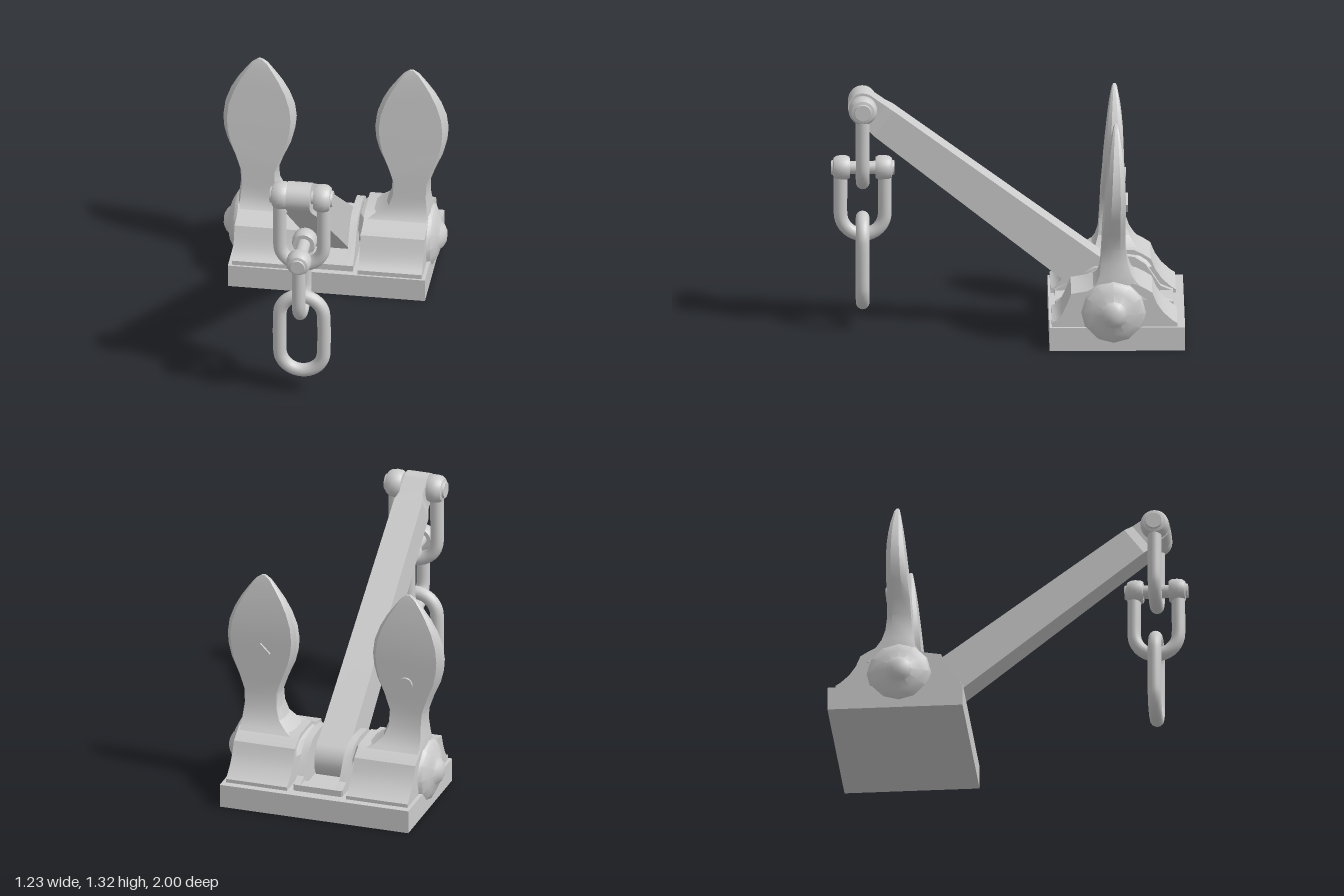
import * as THREE from 'three';
import { toCreasedNormals } from 'three/addons/utils/BufferGeometryUtils.js';

const mat = new THREE.MeshStandardMaterial({ color: 0xcccccc });

function add(parent, name, geometry) {
  const mesh = new THREE.Mesh(geometry, mat);
  mesh.name = name;
  parent.add(mesh);
  return mesh;
}

// Skin over rings of equal point count, with fan caps; flip reverses the winding
function loft(rings, flip = false, crease = 0.5) {
  const n = rings[0].length, index = [];
  const tri = (a, b, c) => (flip ? index.push(a, c, b) : index.push(a, b, c));
  for (let i = 0; i < rings.length - 1; i++) {
    for (let j = 0; j < n; j++) {
      const a = i * n + j, b = i * n + (j + 1) % n;
      tri(a, b, b + n);
      tri(a, b + n, a + n);
    }
  }
  const last = (rings.length - 1) * n;
  for (let j = 1; j < n - 1; j++) {
    tri(0, j + 1, j);
    tri(last, last + j, last + j + 1);
  }
  const g = new THREE.BufferGeometry();
  g.setAttribute('position', new THREE.Float32BufferAttribute(rings.flat(2), 3));
  g.setIndex(index);
  return toCreasedNormals(g, crease);
}

// Side profile of [z, y] points extruded from x0 to x1
function sideExtrude(points, x0, x1) {
  const shape = new THREE.Shape(points.map(([z, y]) => new THREE.Vector2(z, y)));
  const g = new THREE.ExtrudeGeometry(shape, { depth: x1 - x0, bevelEnabled: false });
  g.rotateY(-Math.PI / 2).translate(x1, 0, 0);
  return toCreasedNormals(g, 0.5);
}

// Profile of [radius, distance] points turned about the x axis, pointing to side s
function turned(points, s, segments) {
  const g = new THREE.LatheGeometry(points.map(([r, d]) => new THREE.Vector2(r, d)), segments);
  return toCreasedNormals(g.rotateZ(-s * Math.PI / 2), 0.6);
}

function rod(radius, length, segments = 24) {
  return new THREE.CylinderGeometry(radius, radius, length, segments).rotateZ(Math.PI / 2);
}

// Half circle of points in the xy plane
function halfCircle(r, cy, start, steps = 12) {
  return Array.from({ length: steps + 1 }, (_, i) => {
    const a = start + Math.PI * i / steps;
    return new THREE.Vector3(r * Math.cos(a), cy + r * Math.sin(a), 0);
  });
}

// U-shaped shackle with pin and barrel eyes; origin at the pin
function makeShackle(name, drop, eyeRadius) {
  const group = new THREE.Group();
  group.name = name;
  const r = 0.12;
  const path = [new THREE.Vector3(-r, 0, 0), new THREE.Vector3(-r, -drop * 0.5, 0),
    ...halfCircle(r, -drop, Math.PI),
    new THREE.Vector3(r, -drop * 0.5, 0), new THREE.Vector3(r, 0, 0)];
  add(group, 'shackleBow', new THREE.TubeGeometry(new THREE.CatmullRomCurve3(path), 64, 0.037, 16));
  add(group, 'shacklePin', rod(0.036, 0.26));
  const e = eyeRadius;
  const eye = [[0, 0.07], [e * 0.85, 0.07], [e * 0.97, 0.085], [e, 0.115], [e * 0.95, 0.14],
    [e * 0.8, 0.157], [e * 0.6, 0.161], [e * 0.56, 0.172], [0, 0.172]];
  for (const s of [-1, 1]) add(group, 'shackleEye', turned(eye, s, 24));
  return group;
}

export function createModel() {
  const model = new THREE.Group();
  model.name = 'anchorModel';
  const anchor = new THREE.Group();
  anchor.name = 'anchor';
  anchor.position.set(-0.008, 0, -0.505);
  anchor.rotation.y = Math.PI / 12;
  model.add(anchor);

  const pinY = 0.21, pinZ = 0.02;

  // Base slab and crown pin
  add(anchor, 'base', new THREE.BoxGeometry(1.08, 0.13, 0.735)).position.y = 0.065;
  add(anchor, 'crownPin', rod(0.085, 1.04)).position.set(0, pinY + 0.02, pinZ);

  const hubProfile = [[0.355, 0.125], [0.355, 0.155], [0.33, 0.165], [0.3, 0.2], [0.275, 0.25],
    [0.25, 0.315], [0.16, 0.33], [0.09, 0.37], [-0.1, 0.37], [-0.15, 0.345], [-0.19, 0.32],
    [-0.215, 0.26], [-0.25, 0.21], [-0.3, 0.165], [-0.325, 0.15], [-0.325, 0.125]];
  const cheekProfile = [[0.33, 0.125], [0.33, 0.165], [0.27, 0.2], [0.17, 0.325], [0.12, 0.355],
    [0, 0.365], [-0.1, 0.35], [-0.16, 0.31], [-0.24, 0.19], [-0.3, 0.165], [-0.3, 0.125]];
  const discProfile = [[0, 0.5], [0.165, 0.5], [0.176, 0.52], [0.165, 0.54], [0.12, 0.565],
    [0.075, 0.578], [0.06, 0.595], [0.035, 0.608], [0, 0.612]];

  // Fluke rows: height, outer half width, inner half width, front z, back z
  const flukeRows = [
    [0.28, 0.115, 0.29, 0.2, -0.2], [0.34, 0.11, 0.27, 0.13, -0.15],
    [0.375, 0.11, 0.185, 0.105, -0.11], [0.42, 0.107, 0.13, 0.09, -0.08],
    [0.48, 0.1, 0.105, 0.085, -0.06], [0.56, 0.103, 0.1, 0.08, -0.05],
    [0.65, 0.135, 0.132, 0.075, -0.05], [0.74, 0.175, 0.172, 0.065, -0.05],
    [0.81, 0.193, 0.19, 0.06, -0.05], [0.88, 0.199, 0.197, 0.053, -0.05],
    [0.96, 0.189, 0.187, 0.045, -0.047], [1.04, 0.16, 0.158, 0.037, -0.04],
    [1.11, 0.122, 0.12, 0.03, -0.032], [1.17, 0.08, 0.078, 0.022, -0.022],
    [1.215, 0.045, 0.044, 0.015, -0.015], [1.24, 0.01, 0.01, 0.008, -0.008]];

  for (const s of [-1, 1]) {
    const span = (a, b) => (s > 0 ? [a, b] : [-b, -a]);

    // Hub block, centre cheek and end disc
    add(anchor, 'hub', sideExtrude(hubProfile, ...span(0.17, 0.52)));
    add(anchor, 'shankCheek', sideExtrude(cheekProfile, ...span(0.1, 0.14)));
    add(anchor, 'endDisc', turned(discProfile, s, 12)).position.set(0, pinY, pinZ);

    // Fluke blade with a flat panel on each face and a bevelled rim
    const rings = flukeRows.map(([y, o, i, f, b]) => [
      [o * 0.88, f], [o, f * 0.45], [o, b * 0.45], [o * 0.88, b],
      [-i * 0.88, b], [-i, b * 0.45], [-i, f * 0.45], [-i * 0.88, f],
    ].map(([x, z]) => [s * (0.415 + x), y, z + 0.005]));
    add(anchor, 'fluke', loft(rings, s < 0, 0.45));

    // Low cross bars between the cheeks, front and back
    add(anchor, 'crossBar', new THREE.BoxGeometry(0.27, 0.04, 0.07)).position.set(0, 0.145, 0.012 + s * 0.285);
  }

  // Small plates on the backs of the flukes: diamond and round
  const plate = (x, y, r, sides) => {
    const m = add(anchor, 'flukePlate', toCreasedNormals(new THREE.CylinderGeometry(r, r, 0.02, sides), 0.5));
    m.rotation.x = Math.PI / 2;
    m.position.set(x, y, -0.048);
  };
  plate(0.415, 0.8, 0.055, 4);
  plate(-0.415, 0.73, 0.04, 24);

  // Shank, leaning up and forward from the crown pin
  const rise = 1.03, reach = 1.355, length = Math.hypot(rise, reach);
  const shank = new THREE.Group();
  shank.name = 'shank';
  shank.position.set(0, pinY, pinZ);
  shank.rotation.x = -Math.atan2(rise, reach);
  anchor.add(shank);
  const shankRows = [[0, 0.092, 0.115], [1.56, 0.08, 0.088], [1.61, 0.066, 0.083], [length, 0.066, 0.08]];
  add(shank, 'shankBeam', loft(shankRows.map(([z, w, h]) =>
    [[-w, -h, z], [w, -h, z], [w, h, z], [-w, h, z]]), false, 0.2));
  add(shank, 'shankFoot', rod(0.115, 0.184, 32));
  add(shank, 'shankHead', rod(0.08, 0.132, 32)).position.z = length;

  // Chain: two shackles at right angles and a plain link
  const chainX = 0.012, chainZ = pinZ + reach;
  const upper = makeShackle('upperShackle', 0.31, 0.078);
  upper.position.set(chainX, pinY + rise, chainZ);
  const lower = makeShackle('lowerShackle', 0.255, 0.068);
  lower.position.set(chainX, 0.89, chainZ);
  lower.rotation.y = -Math.PI / 2;
  anchor.add(upper, lower);

  const loop = new THREE.CatmullRomCurve3(
    [...halfCircle(0.12, 0.115, 0), ...halfCircle(0.12, -0.115, Math.PI)], true);
  add(anchor, 'chainLink', new THREE.TubeGeometry(loop, 80, 0.037, 16, true)).position.set(chainX, 0.37, chainZ);

  return model;
}
